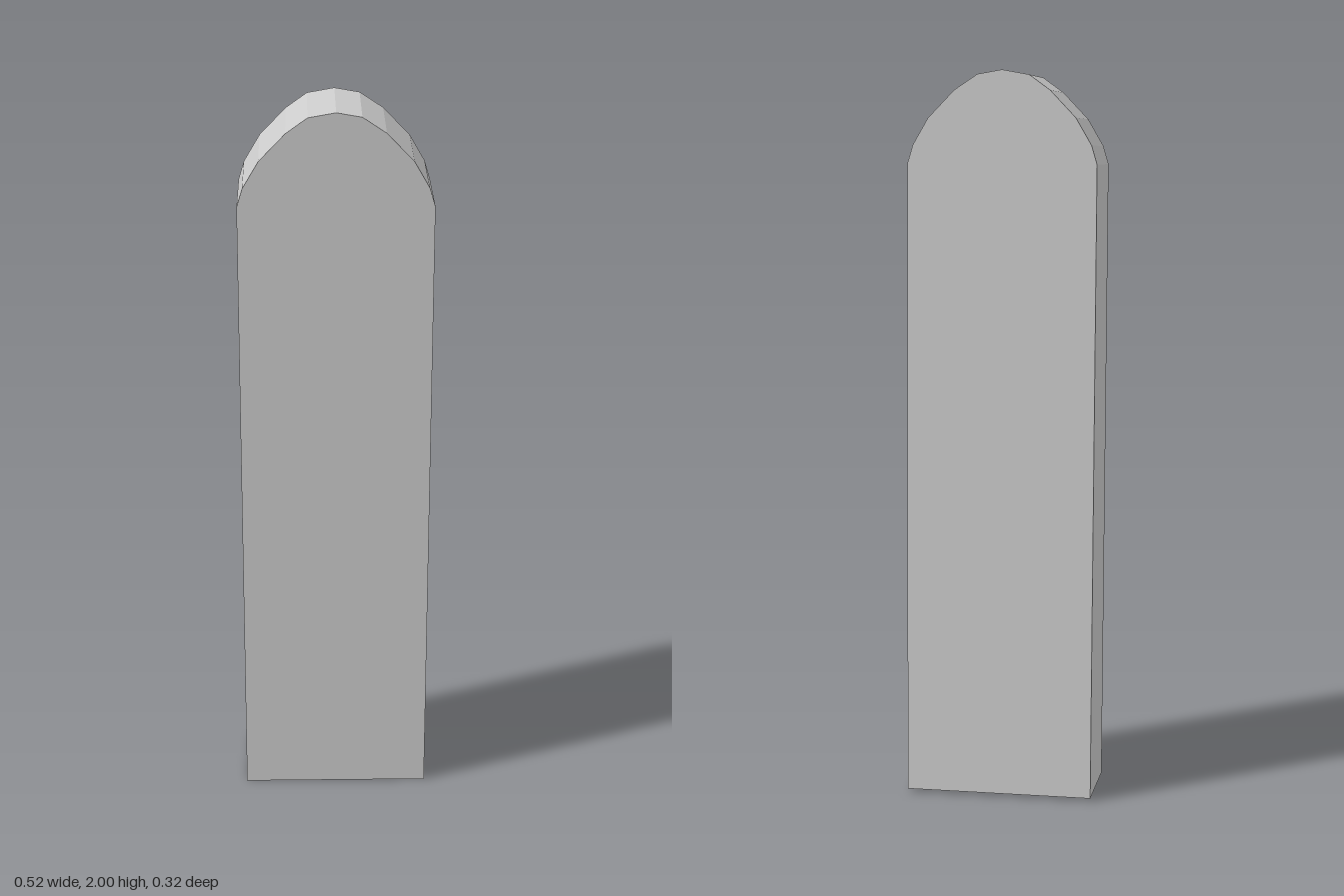
import * as THREE from 'three';

export function createModel() {
  const model = new THREE.Group();
  const depth = 0.256, lean = 0.0335;

  // Upright slab outline with a faceted arched top
  const outline = [
    [-0.258, 0], [0.258, 0], [0.258, 1.742], [0.243, 1.792], [0.202, 1.863],
    [0.13, 1.938], [0.067, 1.98], [0, 1.992], [-0.073, 1.979], [-0.13, 1.938],
    [-0.2, 1.865], [-0.243, 1.792], [-0.258, 1.742],
  ];
  const shape = new THREE.Shape(outline.map(([x, y]) => new THREE.Vector2(x, y)));
  const geometry = new THREE.ExtrudeGeometry(shape, { depth, bevelEnabled: false });
  geometry.translate(0, 0, -depth / 2);

  const slab = new THREE.Mesh(
    geometry,
    new THREE.MeshStandardMaterial({ color: 0xcccccc, flatShading: true })
  );
  slab.name = 'archedSlab';

  // Slight forward lean, resting on the front bottom edge
  slab.rotation.x = lean;
  slab.position.set(0, Math.sin(lean) * depth / 2, -Math.sin(lean) * 0.996);
  model.add(slab);
  return model;
}
